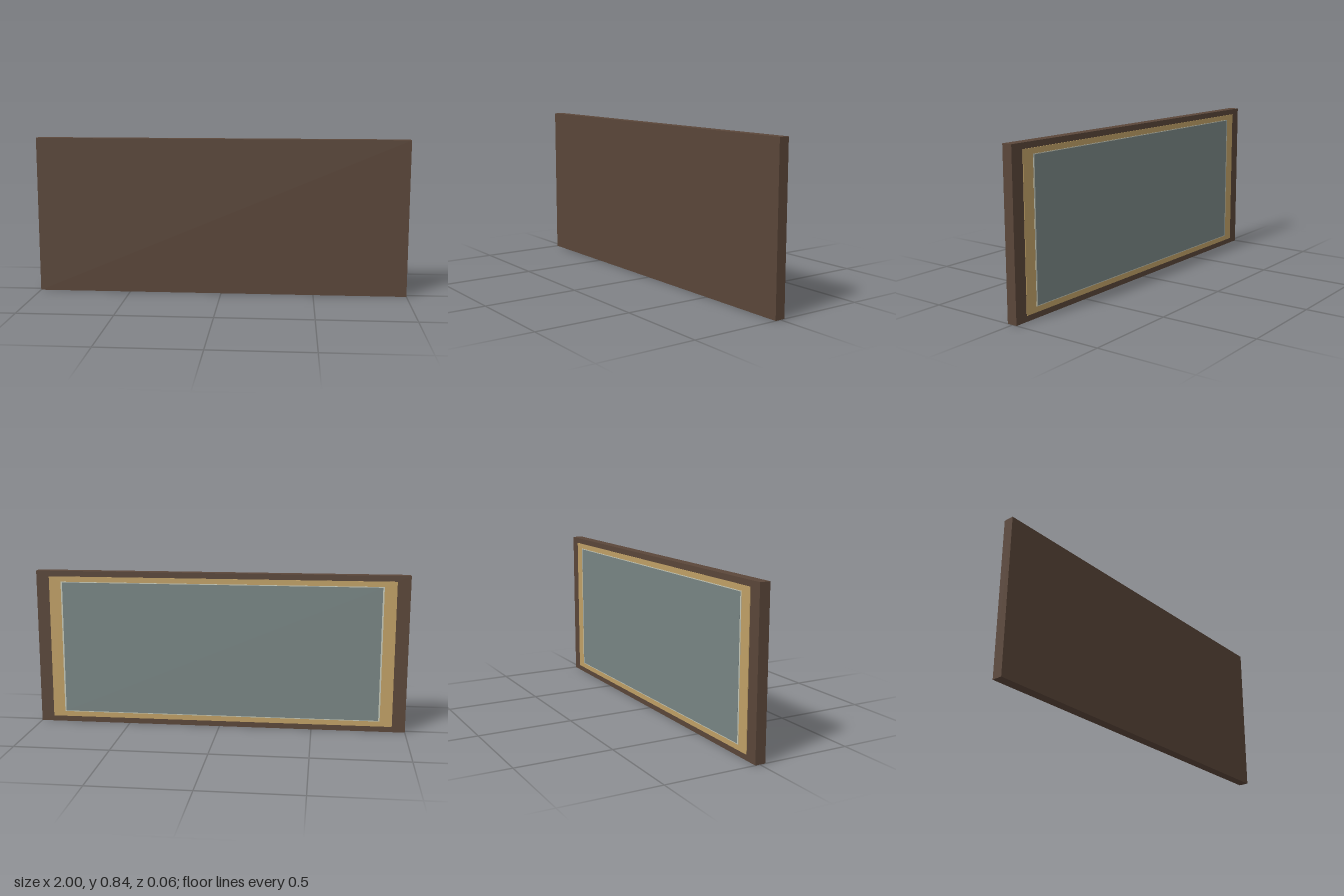
import * as THREE from 'three';

const HEIGHT = 0.842;
const MID_Y = HEIGHT / 2;

function material(color) {
  return new THREE.MeshStandardMaterial({ color });
}

// Solid slab between two depths, centred on the panel
function slab(name, w, h, zBack, zFront, color) {
  const mesh = new THREE.Mesh(new THREE.BoxGeometry(w, h, zFront - zBack), material(color));
  mesh.position.set(0, MID_Y, (zBack + zFront) / 2);
  mesh.name = name;
  return mesh;
}

// Rectangular ring with separate side and top/bottom widths
function ring(name, w, h, side, rail, zBack, zFront, color) {
  const rect = (target, a, b) => {
    target.moveTo(-a, -b);
    target.lineTo(a, -b);
    target.lineTo(a, b);
    target.lineTo(-a, b);
    target.closePath();
    return target;
  };
  const shape = rect(new THREE.Shape(), w / 2, h / 2);
  shape.holes.push(rect(new THREE.Path(), w / 2 - side, h / 2 - rail));
  const geometry = new THREE.ExtrudeGeometry(shape, { depth: zFront - zBack, bevelEnabled: false });
  const mesh = new THREE.Mesh(geometry, material(color));
  mesh.position.set(0, MID_Y, zBack);
  mesh.name = name;
  return mesh;
}

export function createModel() {
  const group = new THREE.Group();
  group.name = 'framedPanel';

  // Dark wooden body
  group.add(slab('woodenBody', 2, HEIGHT, -0.025, 0.03, 0x5a4639));
  // Gilded border on the rear face
  group.add(ring('gildedBorder', 1.86, 0.782, 0.065, 0.028, -0.028, -0.025, 0xc0a066));
  // Thin pale edging around the glass
  group.add(ring('paleEdging', 1.73, 0.726, 0.008, 0.004, -0.0295, -0.025, 0xc6c9b8));
  // Grey-green glass pane
  group.add(slab('glassPane', 1.714, 0.718, -0.03, -0.025, 0x788584));

  return group;
}
